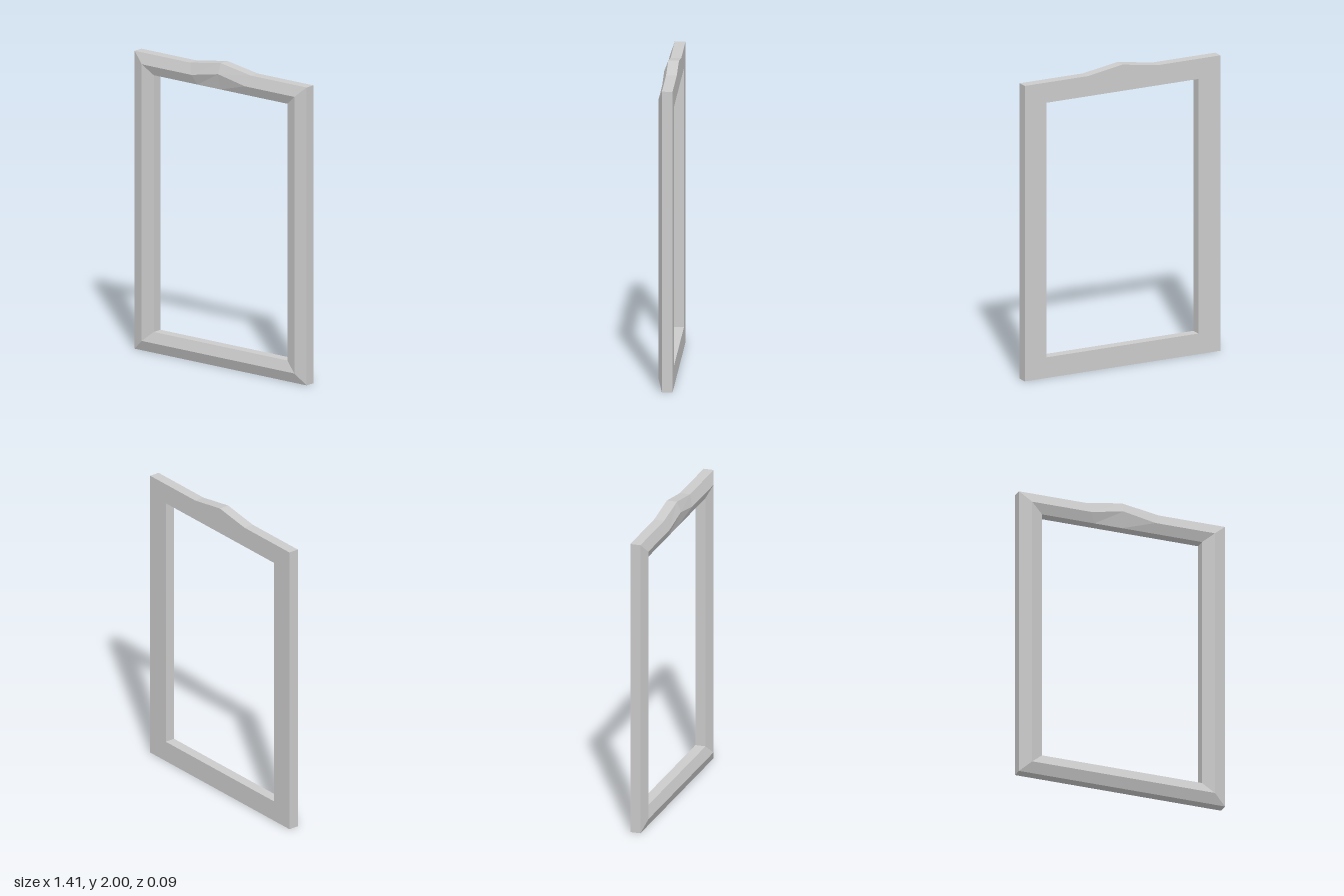
import * as THREE from 'three';

// Closed outline, counter-clockwise from the front: rectangle with a raised crest on its top edge
function outline(halfWidth, bottom, top, shoulder, peak, z) {
  return [
    [-halfWidth, bottom], [halfWidth, bottom], [halfWidth, top], [shoulder, top],
    [0, peak], [-shoulder, top], [-halfWidth, top],
  ].map(([x, y]) => new THREE.Vector3(x, y, z));
}

export function createModel() {
  const group = new THREE.Group();
  group.name = 'pictureFrame';

  const back = -0.047, edge = 0.021, ridge = 0.047;

  // Moulding cross-section: outer side, outer bevel, inner bevel, inner side, flat back
  const rings = [
    outline(0.707, 0, 1.96, 0.25, 2, back),
    outline(0.707, 0, 1.96, 0.25, 2, edge),
    outline(0.627, 0.07, 1.89, 0.22, 1.932, ridge),
    outline(0.549, 0.137, 1.826, 0.19, 1.826, edge),
    outline(0.549, 0.137, 1.826, 0.19, 1.826, back),
  ];

  const points = [];
  rings.forEach((ring, r) => {
    const next = rings[(r + 1) % rings.length];
    ring.forEach((a, i) => {
      const j = (i + 1) % ring.length;
      points.push(a, ring[j], next[j], a, next[j], next[i]);
    });
  });

  const geometry = new THREE.BufferGeometry().setFromPoints(points);
  geometry.computeVertexNormals();
  const material = new THREE.MeshStandardMaterial({ color: 0xcccccc, flatShading: true });
  const frame = new THREE.Mesh(geometry, material);
  frame.name = 'frameMoulding';
  group.add(frame);
  return group;
}
